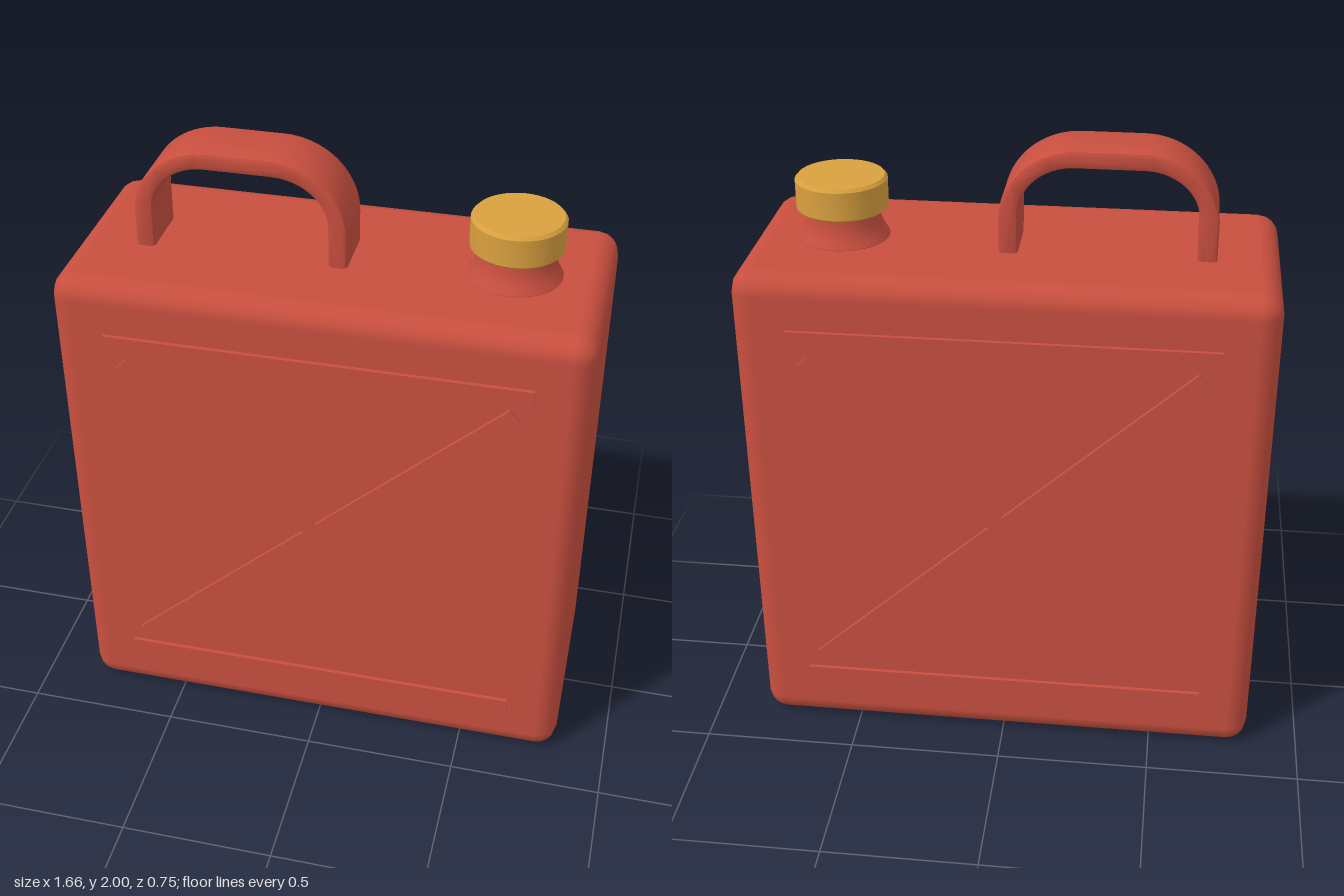
import * as THREE from 'three';
import { RoundedBoxGeometry } from 'three/addons/geometries/RoundedBoxGeometry.js';
import { toCreasedNormals } from 'three/addons/utils/BufferGeometryUtils.js';

const red = new THREE.MeshStandardMaterial({ color: 0xc84f3f });
const gold = new THREE.MeshStandardMaterial({ color: 0xd9a03f });

const BODY = { w: 1.66, h: 1.665, d: 0.725 };
const SPOUT_X = 0.54;

function add(parent, name, geometry, material, x = 0, y = 0, z = 0) {
  const mesh = new THREE.Mesh(geometry, material);
  mesh.name = name;
  mesh.position.set(x, y, z);
  parent.add(mesh);
  return mesh;
}

function lathe(points, segments = 40) {
  const g = new THREE.LatheGeometry(points.map(([r, y]) => new THREE.Vector2(r, y)), segments);
  return toCreasedNormals(g, 0.5);
}

// Flat arch with bevelled edges, standing on two legs
function handleGeometry() {
  const b = 0.014, foot = 1.62;
  const arch = (s, half, top, rx, ry) => {
    // outline of one side of the arch, from left foot to right foot
    s.lineTo(-half, top - ry);
    s.absellipse(-half + rx, top - ry, rx, ry, Math.PI, Math.PI / 2, true);
    s.lineTo(half - rx, top);
    s.absellipse(half - rx, top - ry, rx, ry, Math.PI / 2, 0, true);
    s.lineTo(half, foot);
  };
  const inner = new THREE.Path();
  inner.moveTo(-0.275 - b, foot);
  arch(inner, 0.275 + b, 1.942 + b, 0.185, 0.165);
  const shape = new THREE.Shape();
  shape.moveTo(-0.335 + b, foot);
  arch(shape, 0.335 - b, 2 - b, 0.225, 0.215);
  inner.getPoints(10).reverse().forEach(p => shape.lineTo(p.x, p.y));
  shape.closePath();
  const g = new THREE.ExtrudeGeometry(shape, {
    depth: 0.2 - 2 * b, bevelThickness: b, bevelSize: b, bevelSegments: 2, curveSegments: 10,
  });
  g.translate(0, 0, -0.1 + b);
  return toCreasedNormals(g, 0.7);
}

export function createModel() {
  const model = new THREE.Group();
  model.name = 'fuelCan';

  add(model, 'body', new RoundedBoxGeometry(BODY.w, BODY.h, BODY.d, 2, 0.07), red, 0, BODY.h / 2, 0);
  add(model, 'handle', handleGeometry(), red, -0.295);

  // Raised ribs on both broad faces: two bars and a cross
  const ribDepth = 0.04;
  const dx = 1.22, dy = 1.125;
  for (const [side, label] of [[1, 'front'], [-1, 'back']]) {
    const ribs = new THREE.Group();
    ribs.name = label + 'Ribs';
    const z = side * (0.375 - ribDepth / 2);
    for (const y of [0.2, 1.47]) {
      add(ribs, 'barRib', new THREE.BoxGeometry(1.32, 0.048, ribDepth), red, 0, y, z);
    }
    for (const tilt of [1, -1]) {
      const rib = add(ribs, 'crossRib',
        new THREE.BoxGeometry(Math.hypot(dx, dy), 0.055, ribDepth), red, 0, 0.835, z);
      rib.rotation.z = tilt * Math.atan2(dy, dx);
    }
    model.add(ribs);
  }

  // Flared neck and screw cap
  add(model, 'neck', lathe([
    [0.145, 1.65], [0.145, 1.667], [0.132, 1.69], [0.119, 1.72], [0.118, 1.77],
  ]), red, SPOUT_X);
  add(model, 'cap', lathe([
    [0, 1.757], [0.138, 1.757], [0.144, 1.763], [0.144, 1.852], [0.135, 1.862], [0, 1.862],
  ]), gold, SPOUT_X);

  return model;
}
